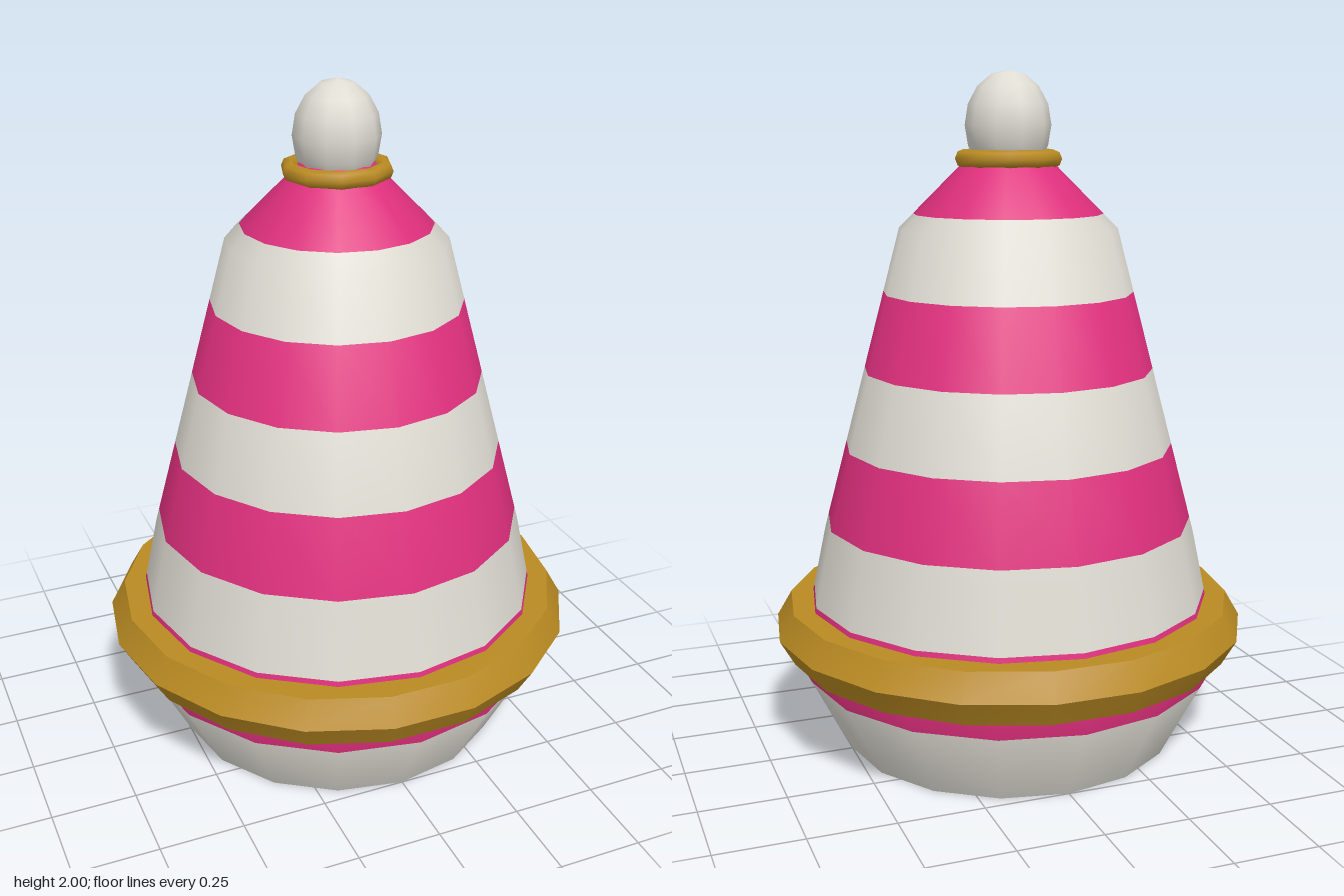
import * as THREE from 'three';
import { toCreasedNormals } from 'three/addons/utils/BufferGeometryUtils.js';

const V = (x, y) => new THREE.Vector2(x, y);
const SIDES = 16, BAND = 0.2275;

// Cone outline from base to tip: radius, height
const outline = [V(0.5, 0), V(0.64, 0.27), V(0.635, 0.32), V(0.6, 0.45), V(0.56, 0.64),
  V(0.32, 1.55), V(0.14, 1.73), V(0.06, 1.82)];

// Smooth outline normals, averaged from neighbouring segments
const segNormal = (a, b) => V(b.y - a.y, a.x - b.x).normalize();
const normals = outline.map((p, i) => {
  const n = V(0, 0);
  if (i > 0) n.add(segNormal(outline[i - 1], p));
  if (i < outline.length - 1) n.add(segNormal(p, outline[i + 1]));
  return n.normalize();
});

// Point and normal of the outline at height y
function sample(y) {
  let i = 0;
  while (i < outline.length - 2 && outline[i + 1].y < y) i++;
  const t = (y - outline[i].y) / (outline[i + 1].y - outline[i].y);
  return {
    p: outline[i].clone().lerp(outline[i + 1], t),
    n: normals[i].clone().lerp(normals[i + 1], t).normalize(),
  };
}

// One stripe between two heights, with normals that run on into the next stripe
function stripeGeometry(y0, y1) {
  const ys = [y0, ...outline.map(p => p.y).filter(y => y > y0 + 1e-4 && y < y1 - 1e-4), y1];
  const rows = ys.map(sample);
  const geo = new THREE.LatheGeometry(rows.map(r => r.p), SIDES);
  const attr = geo.attributes.normal;
  for (let k = 0; k < attr.count; k++) {
    const a = Math.floor(k / rows.length) / SIDES * Math.PI * 2;
    const n = rows[k % rows.length].n;
    attr.setXYZ(k, n.x * Math.sin(a), n.y, n.x * Math.cos(a));
  }
  return geo;
}

export function createModel() {
  const group = new THREE.Group();
  const material = (name, color) => {
    const m = new THREE.MeshStandardMaterial({ color });
    m.name = name;
    return m;
  };
  const cream = material('cream', 0xdedbd2);
  const pink = material('pink', 0xe0307e);
  const gold = material('gold', 0xb98a22);

  const add = (name, geo, mat) => {
    const mesh = new THREE.Mesh(geo, mat);
    mesh.name = name;
    group.add(mesh);
    return mesh;
  };

  // Striped cone
  for (let i = 0; i < 8; i++) {
    add(`stripe${i + 1}`, stripeGeometry(i * BAND, (i + 1) * BAND), i % 2 ? pink : cream);
  }

  // Flat underside
  add('underside', new THREE.CircleGeometry(0.5, SIDES), pink).rotation.x = Math.PI / 2;

  // Six-sided brim ring with sharp lengthwise edges
  const brim = toCreasedNormals(new THREE.TorusGeometry(0.623, 0.087, 6, 18), 0.6);
  const brimMesh = add('brimRing', brim, gold);
  brimMesh.rotation.x = Math.PI / 2;
  brimMesh.position.y = 0.365;

  // Small collar under the knob
  const collar = add('collarRing', new THREE.TorusGeometry(0.135, 0.026, 8, 10), gold);
  collar.rotation.x = Math.PI / 2;
  collar.position.y = 1.75;

  // Egg-shaped knob
  const knob = [];
  for (let i = 0; i <= 8; i++) {
    const a = -Math.PI / 2 + i / 8 * Math.PI;
    knob.push(V(Math.max(0, 0.125 * Math.cos(a)), 1.845 + 0.155 * Math.sin(a)));
  }
  add('knob', new THREE.LatheGeometry(knob, 10), cream);

  return group;
}
